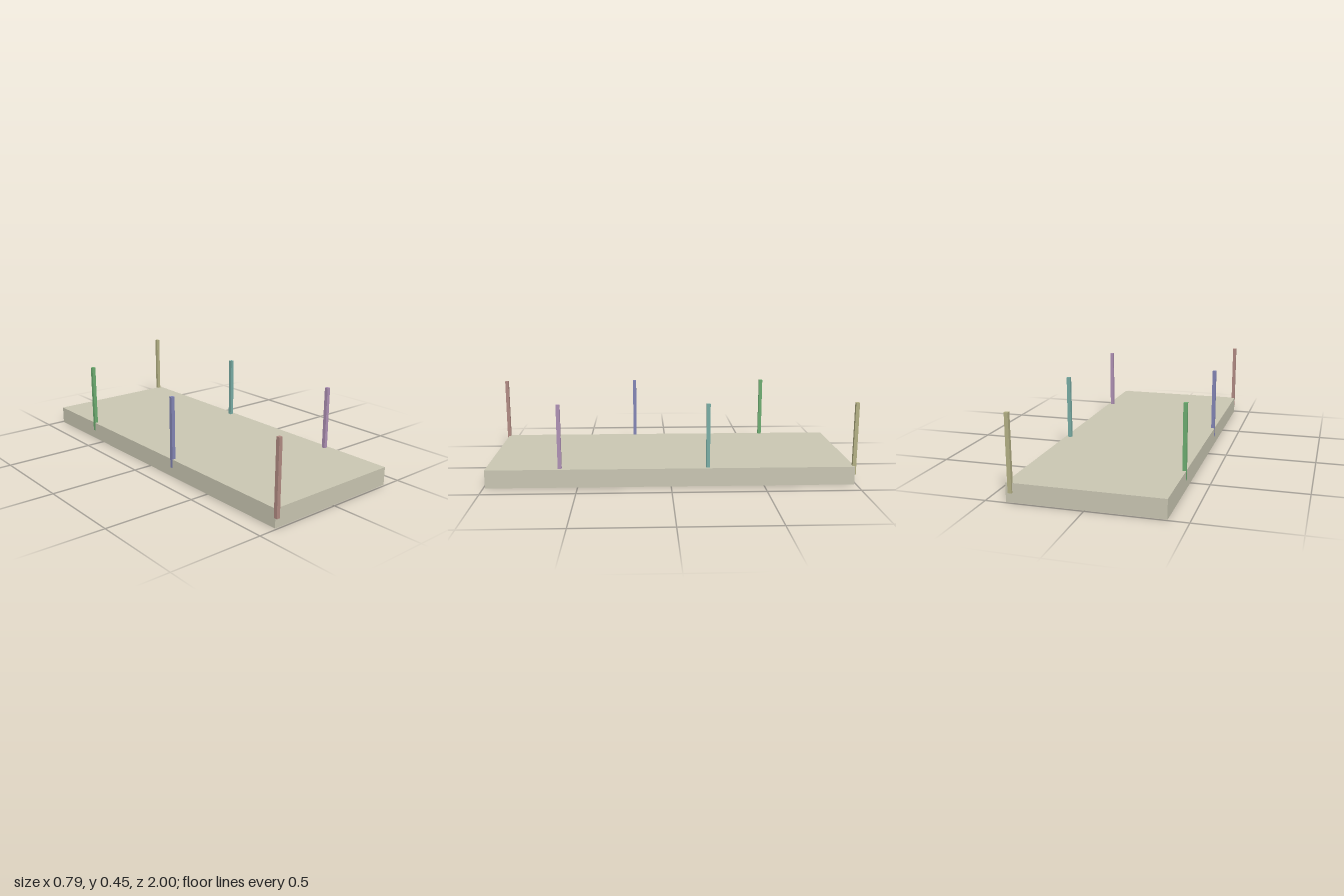
import * as THREE from 'three';

const U = 0.396; // spacing between neighbouring posts
const POST = 0.0198; // post thickness

function box(name, size, position, color) {
  const mesh = new THREE.Mesh(
    new THREE.BoxGeometry(...size),
    new THREE.MeshStandardMaterial({ color })
  );
  mesh.name = name;
  mesh.position.set(...position);
  return mesh;
}

export function createModel() {
  const group = new THREE.Group();
  group.name = 'platformWithPosts';

  // Flat slab, 2 by 5 post spacings
  const thickness = U / 4;
  group.add(box('slab', [2 * U, thickness, 5 * U], [0, thickness / 2, 0], 0xc9c6b2));

  // Posts alternate between the two long edges, sunk halfway into the slab
  const colors = [0xb08a82, 0xae90b4, 0x8284b4, 0x78aca4, 0x6cac70, 0xb4b084];
  colors.forEach((color, i) => {
    // the -x row is flush with the edge (a hair proud), the +x row is inset
    const x = i % 2 ? 0.371 : -U + POST / 2 - 0.0004;
    const z = (2.5 - i) * U;
    group.add(box(`post${i + 1}`, [POST, U, POST], [x, thickness / 2 + U / 2, z], color));
  });

  return group;
}
